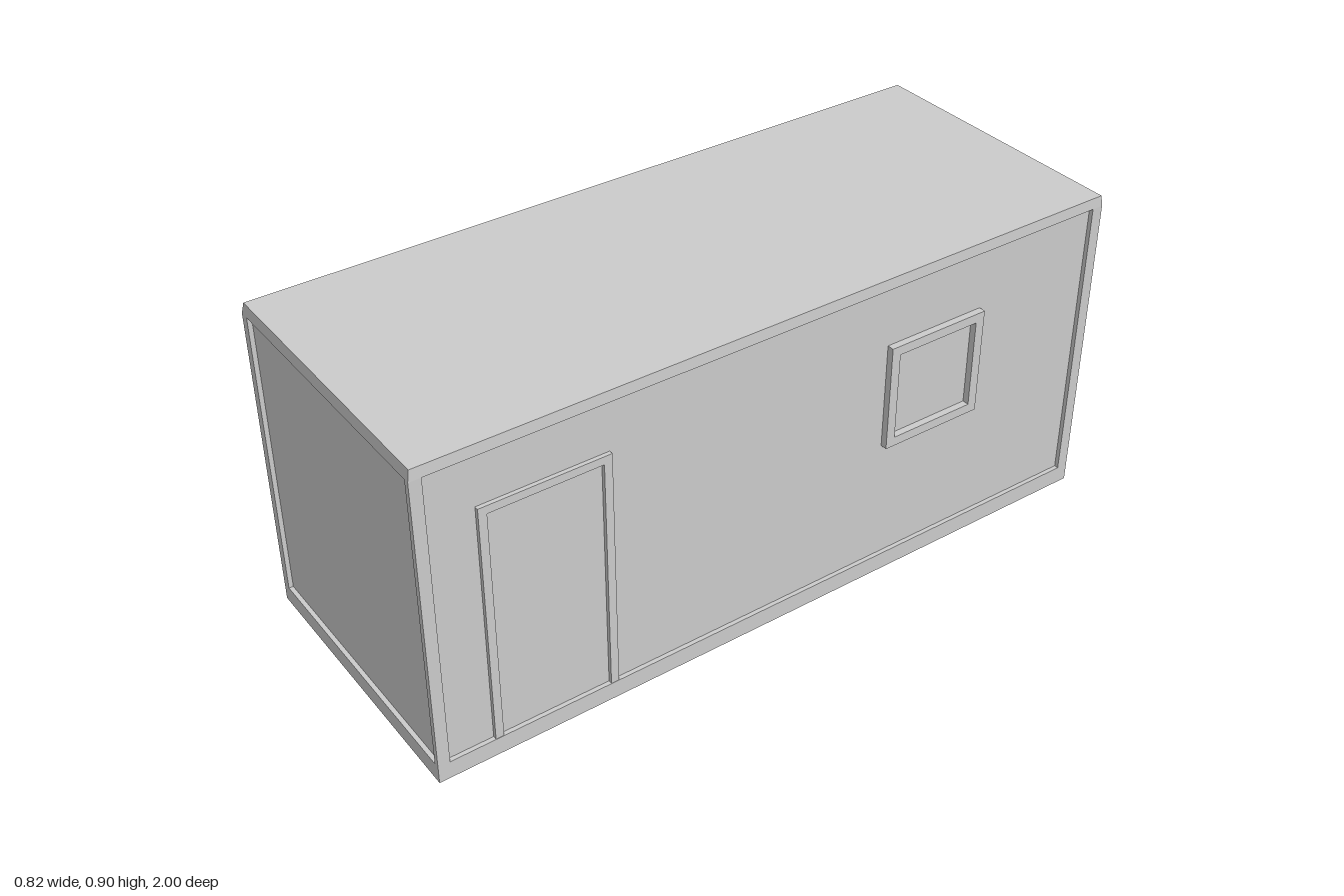
import * as THREE from 'three';

const material = new THREE.MeshStandardMaterial({ color: 0xcccccc, flatShading: true });

export function createModel() {
  const model = new THREE.Group();
  model.name = 'siteCabin';

  const add = (name, geometry) => {
    const mesh = new THREE.Mesh(geometry, material);
    mesh.name = name;
    model.add(mesh);
    return mesh;
  };

  // Box given by its lower and upper limits on each axis
  const block = (name, [x0, x1], [y0, y1], [z0, z1]) => {
    const g = new THREE.BoxGeometry(x1 - x0, y1 - y0, z1 - z0);
    g.translate((x0 + x1) / 2, (y0 + y1) / 2, (z0 + z1) / 2);
    return add(name, g);
  };

  // Recessed wall panels
  block('wallPanels', [-0.39, 0.388], [0.02, 0.88], [-0.988, 0.988]);

  // Floor and roof rails; the roof edge leans in slightly
  block('floorFrame', [-0.4, 0.4], [0, 0.05], [-1, 1]);
  const roof = block('roofFrame', [-0.4, 0.4], [0.87, 0.9], [-1, 1]);
  const p = roof.geometry.attributes.position;
  for (let i = 0; i < p.count; i++) {
    if (p.getY(i) < 0.89) continue;
    p.setX(i, p.getX(i) < 0 ? -0.394 : 0.398);
    p.setZ(i, p.getZ(i) * 0.995);
  }
  roof.geometry.computeVertexNormals();

  // Corner posts
  for (const [z0, z1] of [[-1, -0.968], [0.968, 1]]) {
    block('cornerPostRight', [0.385, 0.4], [0.05, 0.87], [z0, z1]);
    block('cornerPostLeft', [-0.4, -0.375], [0.05, 0.87], [z0, z1]);
  }

  // Frame around an opening in a long wall, from x0 to x1
  const surround = (name, [x0, x1], [y0, y1], [z0, z1], w, openBottom = false) => {
    const s = new THREE.Shape();
    s.moveTo(z0, y0);
    if (openBottom) {
      s.lineTo(z0 + w, y0).lineTo(z0 + w, y1 - w).lineTo(z1 - w, y1 - w).lineTo(z1 - w, y0);
    }
    s.lineTo(z1, y0).lineTo(z1, y1).lineTo(z0, y1).closePath();
    if (!openBottom) {
      const h = new THREE.Path();
      h.moveTo(z0 + w, y0 + w).lineTo(z0 + w, y1 - w);
      h.lineTo(z1 - w, y1 - w).lineTo(z1 - w, y0 + w).closePath();
      s.holes.push(h);
    }
    const g = new THREE.ExtrudeGeometry(s, { depth: x1 - x0, bevelEnabled: false });
    g.rotateY(-Math.PI / 2).translate(x1, 0, 0);
    add(name, g);
  };

  // Windows
  surround('windowFrameRight', [0.38, 0.407], [0.4, 0.7], [-0.61, -0.31], 0.026);
  surround('windowFrameLeftBack', [-0.41, -0.38], [0.4, 0.7], [-0.61, -0.31], 0.026);
  surround('windowFrameLeftFront', [-0.41, -0.38], [0.4, 0.7], [0.52, 0.82], 0.026);

  // Door surround and the raised strip on the opposite wall
  surround('doorFrame', [0.38, 0.399], [0.05, 0.73], [0.5, 0.845], 0.022, true);
  block('wallStripLeft', [-0.394, -0.38], [0.05, 0.725], [0.83, 0.97]);

  return model;
}
